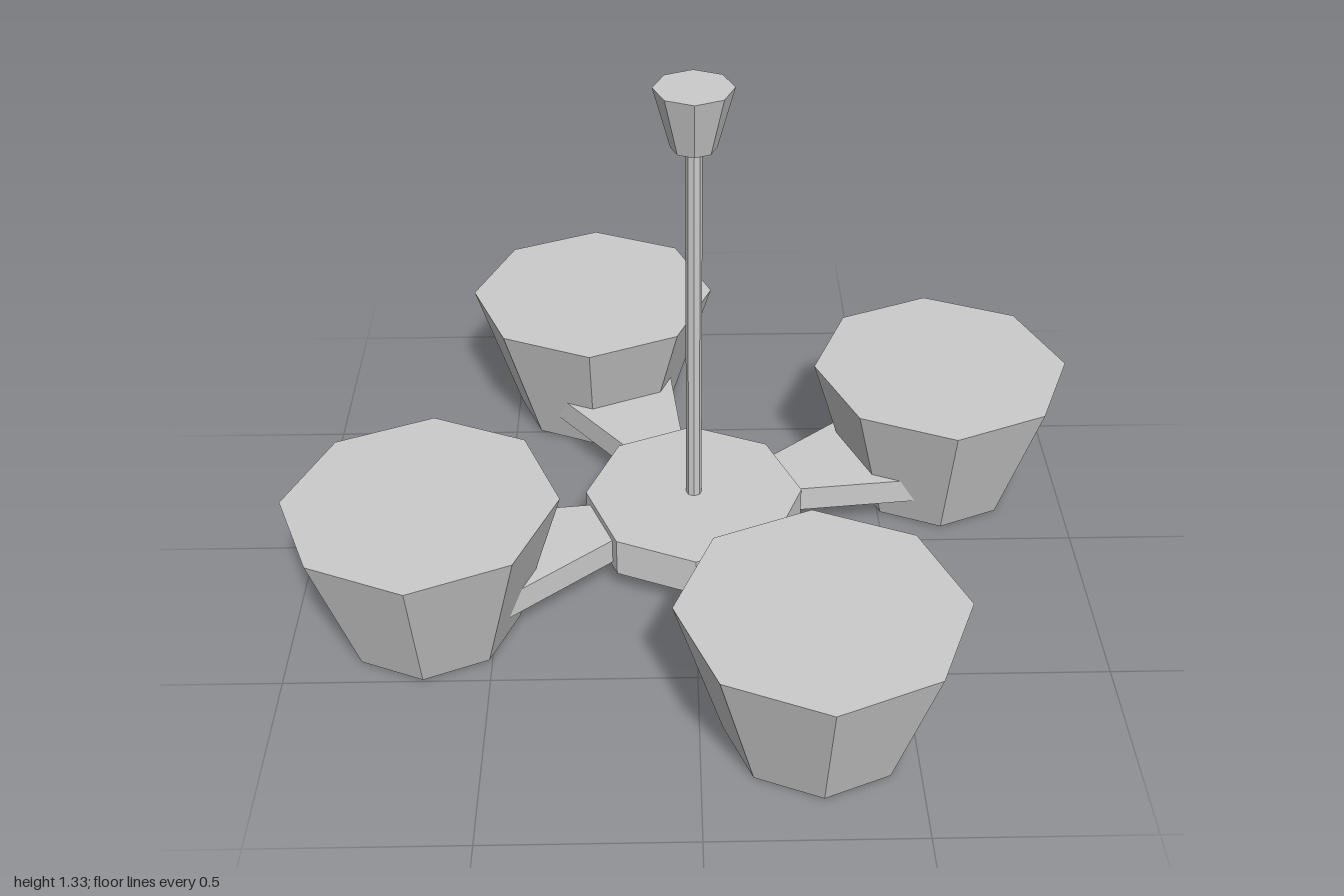
import * as THREE from 'three';

export function createModel() {
  const group = new THREE.Group();
  const material = new THREE.MeshStandardMaterial({ color: 0xcccccc, flatShading: true });

  const add = (parent, name, geometry) => {
    const mesh = new THREE.Mesh(geometry, material);
    mesh.name = name;
    parent.add(mesh);
    return mesh;
  };

  // Eight-sided prism or frustum standing between two heights
  const octagon = (parent, name, rTop, rBottom, y0, y1, turn = 0) => {
    const mesh = add(parent, name, new THREE.CylinderGeometry(rTop, rBottom, y1 - y0, 8, 1, false, turn));
    mesh.position.y = (y0 + y1) / 2;
    return mesh;
  };

  // Central column: hub, hanging rod and ceiling cap
  octagon(group, 'hub', 0.28, 0.28, 0.07, 0.175);
  octagon(group, 'rod', 0.02, 0.02, 0.12, 1.2);
  octagon(group, 'ceilingCap', 0.094, 0.054, 1.175, 1.325);

  // Flat arm that widens outwards and ends inside its shade
  const inner = 0.1, outer = 0.6, flare = 0.3;
  const outline = new THREE.Shape([
    new THREE.Vector2(inner, -inner * flare),
    new THREE.Vector2(outer, -outer * flare),
    new THREE.Vector2(outer, outer * flare),
    new THREE.Vector2(inner, inner * flare),
  ]);
  const armGeometry = new THREE.ExtrudeGeometry(outline, { depth: 0.07, bevelEnabled: false });
  armGeometry.rotateX(-Math.PI / 2).translate(0, 0.085, 0);

  // Four arms with tapered shades, a quarter turn apart
  for (let i = 0; i < 4; i++) {
    const branch = new THREE.Group();
    branch.name = `branch${i + 1}`;
    add(branch, 'arm', armGeometry);
    octagon(branch, 'shade', 0.336, 0.22, 0, 0.375, Math.PI / 8).position.x = 0.718;
    branch.rotation.y = Math.PI / 8 + i * Math.PI / 2;
    group.add(branch);
  }

  return group;
}
